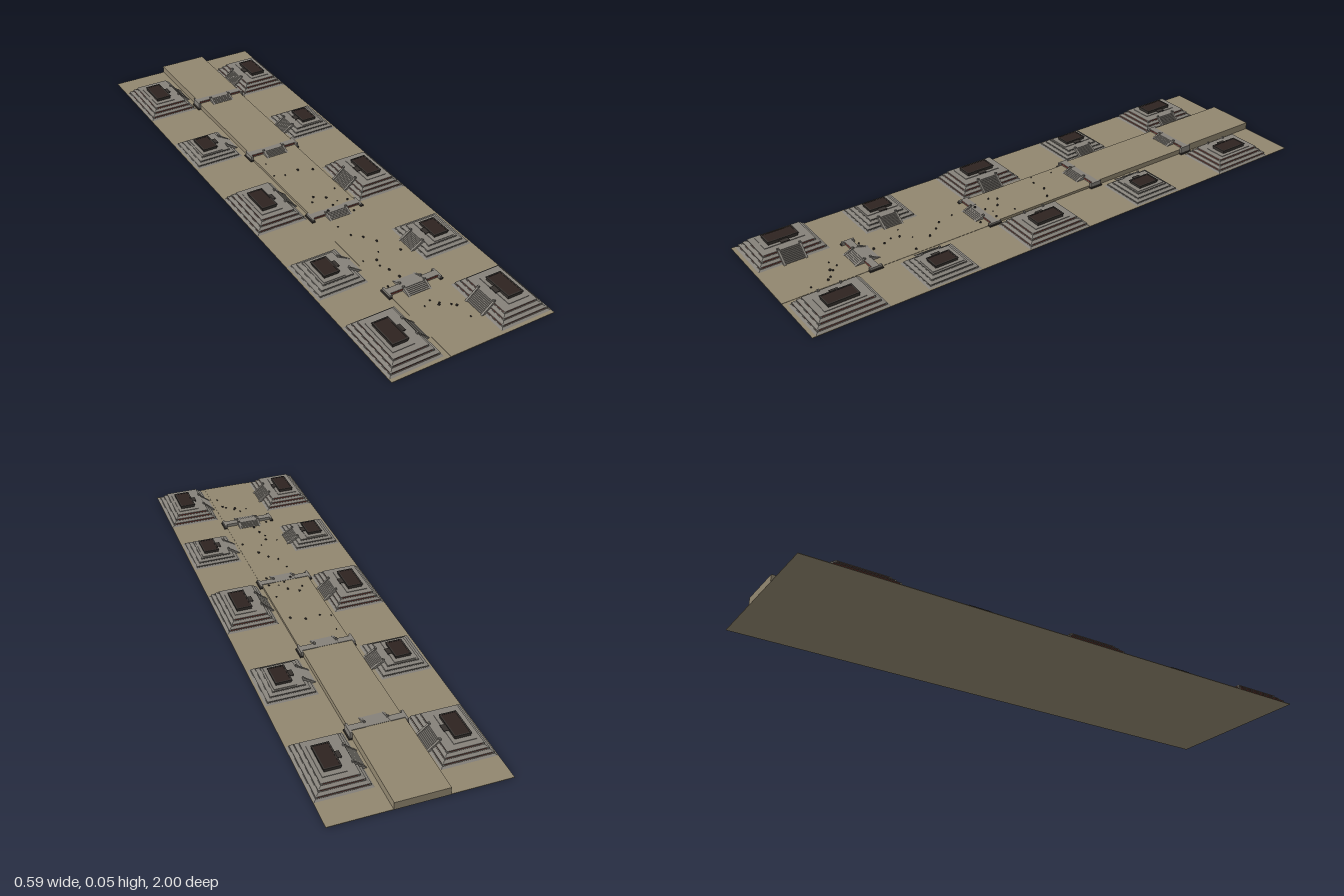
import * as THREE from 'three';

const mat = (color) => new THREE.MeshStandardMaterial({ color, flatShading: true });
const EARTH = mat(0x91866f), STONE = mat(0x85817a), RED = mat(0x6a2c24), DARK = mat(0x34302d), ROOF = mat(0x2e2320);

function add(parent, name, geometry, material) {
  const mesh = new THREE.Mesh(geometry, material);
  mesh.name = name;
  parent.add(mesh);
  return mesh;
}

// Box given by its limits on each axis
function block(parent, name, x0, x1, y0, y1, z0, z1, material) {
  const mesh = add(parent, name, new THREE.BoxGeometry(x1 - x0, y1 - y0, z1 - z0), material);
  mesh.position.set((x0 + x1) / 2, (y0 + y1) / 2, (z0 + z1) / 2);
  return mesh;
}

// Centred box whose top is drawn in, for the sloping bases
function slope(parent, name, hx, hz, y0, y1, inset, material) {
  const g = new THREE.BoxGeometry(hx * 2, y1 - y0, hz * 2);
  const p = g.attributes.position;
  for (let i = 0; i < p.count; i++) {
    if (p.getY(i) > 0) p.setXYZ(i, p.getX(i) * (1 - inset / hx), p.getY(i), p.getZ(i) * (1 - inset / hz));
  }
  g.computeVertexNormals();
  add(parent, name, g, material).position.y = (y0 + y1) / 2;
}

// One terrace: sloping base, framed panel band and cornice
function terrace(parent, hx, hz, y0, y1, panel) {
  const h = y1 - y0, a = y0 + h * 0.35, b = y0 + h * 0.45, c = y0 + h * 0.84, r = 0.002;
  slope(parent, 'slopingBase', hx + 0.008, hz + 0.008, y0, a, 0.008, STONE);
  block(parent, 'lowerLedge', -hx, hx, a, b, -hz, hz, STONE);
  block(parent, 'panelBand', -hx + r, hx - r, b, c, -hz + r, hz - r, panel);
  block(parent, 'cornice', -hx, hx, c, y1, -hz, hz, STONE);
  for (const sx of [-1, 1]) for (const sz of [-1, 1]) {
    const post = add(parent, 'cornerFrame', new THREE.BoxGeometry(0.006, c - b, 0.006), STONE);
    post.position.set(sx * (hx - 0.003), (b + c) / 2, sz * (hz - 0.003));
  }
}

// Flight of steps rising towards +x, with sloping side walls
function stairs(parent, x0, x1, y0, y1, halfWidth, count) {
  const g = new THREE.Group();
  g.name = 'stairs';
  parent.add(g);
  const run = (x1 - x0) / count, rise = (y1 - y0) / count;
  for (let i = 0; i < count; i++) {
    block(g, 'step', x0 + i * run, x1, y0 + i * rise, y0 + (i + 1) * rise, -halfWidth, halfWidth, STONE);
  }
  const w = 0.007;
  const side = new THREE.Shape([[x0 - 0.004, y0], [x1, y0], [x1, y1 + 0.003], [x1 - run, y1 + 0.003]]
    .map(([x, y]) => new THREE.Vector2(x, y)));
  for (const s of [-1, 1]) {
    const wall = add(g, 'balustrade', new THREE.ExtrudeGeometry(side, { depth: w, bevelEnabled: false }), STONE);
    wall.position.z = s * (halfWidth + w / 2) - w / 2;
    const post = add(g, 'balustradePost', new THREE.BoxGeometry(0.006, 0.006, w), STONE);
    post.position.set(x1 - 0.003, y1 + 0.004, s * (halfWidth + w / 2));
  }
  return g;
}

// Stepped pyramid, its stairs facing local -x
function pyramid(big) {
  const g = new THREE.Group();
  g.name = big ? 'largePyramid' : 'smallPyramid';
  const top = big ? 0.035 : 0.025, n = 3, panel = big ? RED : DARK;
  const hx = big ? 0.086 : 0.082, hz = big ? 0.117 : 0.09, step = big ? 0.012 : 0.013;
  for (let i = 0; i < n; i++) terrace(g, hx - i * step, hz - i * step, top * i / n, top * (i + 1) / n, panel);
  stairs(g, -0.1, -0.056, 0, top, big ? 0.035 : 0.03, 10);

  // Temple with a sunken roof and a porch
  const t = new THREE.Group();
  t.name = 'temple';
  t.position.set(0.01, top, 0);
  g.add(t);
  const tx = 0.029, tz = big ? 0.055 : 0.043, h = big ? 0.014 : 0.012;
  block(t, 'plinth', -tx - 0.01, tx + 0.01, 0, 0.002, -tz - 0.016, tz + 0.016, STONE);
  block(t, 'templeWalls', -tx + 0.002, tx - 0.002, 0.002, h - 0.003, -tz + 0.002, tz - 0.002, DARK);
  block(t, 'templeRoof', -tx + 0.005, tx - 0.005, h - 0.003, h - 0.001, -tz + 0.005, tz - 0.005, ROOF);
  for (const s of [-1, 1]) {
    block(t, 'roofEdge', s * (tx - 0.0025) - 0.0025, s * (tx - 0.0025) + 0.0025, h - 0.003, h, -tz, tz, DARK);
    block(t, 'roofEdge', -tx + 0.005, tx - 0.005, h - 0.003, h, s * (tz - 0.0025) - 0.0025, s * (tz - 0.0025) + 0.0025, DARK);
    block(t, 'porchPost', -0.043, -0.04, 0.002, 0.006, s * 0.012 - 0.0015, s * 0.012 + 0.0015, DARK);
  }
  block(t, 'porchRoof', -0.045, -tx + 0.002, 0.006, 0.0075, -0.015, 0.015, DARK);
  return g;
}

// Wall across the avenue with a central flight and turned ends
function crossWall(parent, z, y0, y1, bothSides) {
  const g = new THREE.Group();
  g.name = 'crossWall';
  g.position.z = z;
  parent.add(g);
  for (const s of [-1, 1]) {
    const a = Math.min(s * 0.04, s * 0.093), b = Math.max(s * 0.04, s * 0.093);
    block(g, 'wallBase', a, b, y0, y1 - 0.001, -0.014, 0.008, STONE);
    block(g, 'wallPanel', a + 0.003, b - 0.003, y0 + (y1 - y0) * 0.35, y1 - 0.0025, 0.007, 0.009, RED);
    block(g, 'wallCap', a, b, y1 - 0.001, y1 + 0.001, -0.015, 0.01, STONE);
    block(g, 'wallEnd', s * 0.094 - 0.004, s * 0.094 + 0.004, 0.001, y1 + 0.001, -0.025, 0.02, STONE);
    block(g, 'wallEndFoot', s * 0.096 - 0.006, s * 0.096 + 0.006, 0.001, 0.007, -0.027, 0.022, DARK);
  }
  block(g, 'landing', -0.042, 0.042, y0, y1, -0.014, 0.008, STONE);
  const flight = stairs(g, -0.04, -0.004, y0, y1, 0.036, 6);
  flight.rotation.y = Math.PI / 2;
  if (bothSides) {
    const back = stairs(g, -0.045, -0.012, y0, y1, 0.036, 6);
    back.rotation.y = -Math.PI / 2;
  }
}

export function createModel() {
  const model = new THREE.Group();
  model.name = 'ceremonialAvenue';
  block(model, 'ground', -0.296, 0.296, 0, 0.002, -1, 1, EARTH);

  // Avenue rising in levels towards the back
  const levels = [[1, 0.22, 0.003], [0.22, -0.22, 0.011], [-0.22, -0.66, 0.02], [-0.66, -1, 0.028]];
  for (const [front, back, y] of levels) block(model, 'avenueLevel', -0.09, 0.09, 0.001, y, back, front, EARTH);
  crossWall(model, 0.68, 0.003, 0.014, true);
  for (let i = 1; i < 4; i++) crossWall(model, levels[i][0], levels[i - 1][2], levels[i][2] + 0.001, false);

  // Pyramids in facing pairs
  const rows = [[0.862, true], [0.5, false], [0.088, true], [-0.35, false], [-0.775, true]];
  for (const [z, big] of rows) for (const s of [-1, 1]) {
    const p = pyramid(big);
    p.position.set(s * 0.2, 0.002, z);
    if (s < 0) p.rotation.y = Math.PI;
    model.add(p);
  }

  // Small stones scattered over the avenue
  let seed = 7;
  const rand = () => (seed = (seed * 16807) % 2147483647) / 2147483647;
  for (let i = 0; i < 34; i++) {
    const x = (rand() - 0.5) * 0.16, z = 0.95 - rand() * 1.1;
    const size = 0.002 + rand() * 0.003;
    const stone = add(model, 'looseStone', new THREE.DodecahedronGeometry(size, 0), DARK);
    stone.position.set(x, (z > 0.22 ? 0.003 : 0.011) + size * 0.5, z);
  }
  return model;
}
